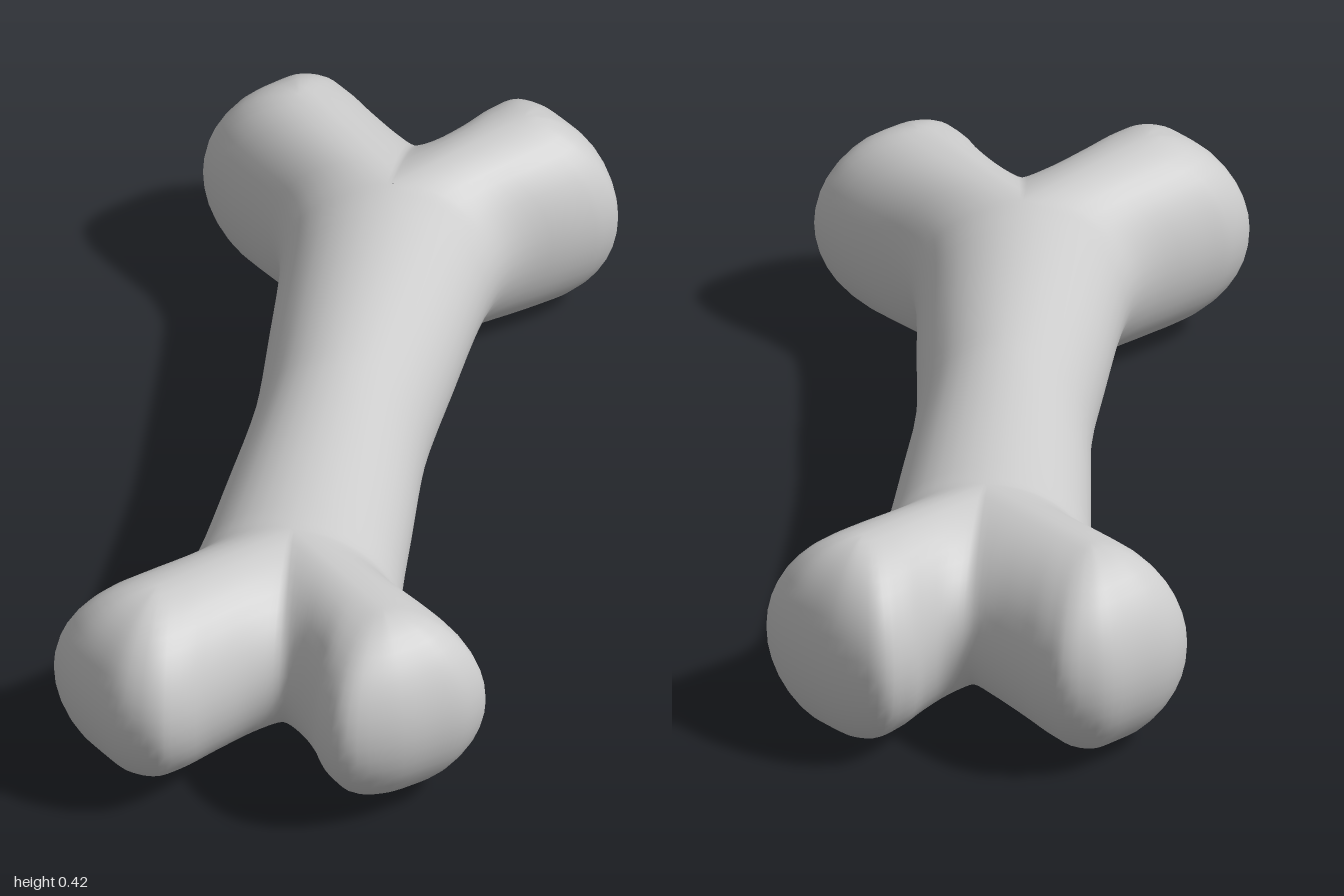
import * as THREE from 'three';

// Half outlines of one knuckled end: [x, z, s]. s places the matching point on
// the core line: 0..1 runs along the shaft, 1..2 out along the knuckle branch.
const leftSide = [
  [0.168, 0.0, 0], [0.182, 0.25, 0.45], [0.2, 0.48, 0.88], [0.218, 0.56, 1.04], [0.26, 0.615, 1.25],
  [0.35, 0.69, 1.65], [0.4, 0.745, 1.88], [0.41, 0.785, 1.97], [0.385, 0.84, 2], [0.335, 0.89, 2],
  [0.265, 0.945, 2], [0.18, 0.98, 1.95], [0.125, 0.945, 1.8], [0.09, 0.875, 1.55], [0.055, 0.823, 1.25],
];
const rightSide = [
  [0.168, 0.0, 0], [0.182, 0.25, 0.45], [0.2, 0.48, 0.88], [0.215, 0.55, 1.04], [0.25, 0.605, 1.25],
  [0.34, 0.69, 1.65], [0.395, 0.75, 1.88], [0.412, 0.805, 1.97], [0.385, 0.865, 2], [0.33, 0.925, 2],
  [0.265, 0.98, 2], [0.2, 0.995, 1.97], [0.145, 0.97, 1.8], [0.09, 0.905, 1.55], [0.03, 0.838, 1.25],
];
const JOINT = 0.55;
const TIP = { x: 0.215, z: 0.785 };

// One quarter of the outline, placed by the signs of x and z; the back notch is shallower
function quarter(side, sx, sz) {
  return side.map(([x, z, s], i) => {
    const back = sz < 0;
    const notch = back && i > 12 ? 0.012 * (i - 12) : 0;
    const slim = back && i > 3 ? 0.97 : 1;
    return new THREE.Vector3(sx * x * slim, s, sz * (z + notch));
  });
}

function boneGeometry() {
  const outline = new THREE.CatmullRomCurve3([
    ...quarter(leftSide, 1, 1),
    new THREE.Vector3(0.02, 1, 0.808),
    ...quarter(rightSide, -1, 1).reverse(),
    ...quarter(rightSide, -1, -1).slice(1),
    new THREE.Vector3(0.012, 1, -0.837),
    ...quarter(leftSide, 1, -1).slice(1).reverse(),
  ], true, 'centripetal');

  const around = 240, rows = 20;
  const pos = [], index = [];
  for (let i = 0; i < around; i++) {
    const p = outline.getPoint(i / around);
    const s = THREE.MathUtils.clamp(p.y, 0, 2);
    const branch = Math.max(0, s - 1);
    const sx = p.x < 0.015 ? -1 : 1, sz = p.z < 0 ? -1 : 1;
    // Core point and half thickness at this part of the outline
    const mx = sx * TIP.x * branch;
    const mz = sz * (JOINT * Math.min(s, 1) + (TIP.z - JOINT) * branch);
    const half = 0.188 + (sz < 0 ? 0.022 : 0.012) * branch;
    const mid = 0.218 - (sz < 0 ? 0.008 : 0) * branch;
    // Rounded rib from the underside, out to the outline and up to the top
    for (let j = 0; j <= rows; j++) {
      const a = (j / rows - 0.5) * Math.PI, c = Math.cos(a);
      pos.push(mx + (p.x - mx) * c, mid + half * Math.sin(a), mz + (p.z - mz) * c);
    }
  }
  const w = rows + 1;
  for (let i = 0; i < around; i++) {
    for (let j = 0; j < rows; j++) {
      const a = i * w + j, b = ((i + 1) % around) * w + j;
      index.push(a, a + 1, b, b, a + 1, b + 1);
    }
  }
  const geo = new THREE.BufferGeometry();
  geo.setAttribute('position', new THREE.Float32BufferAttribute(pos, 3));
  geo.setIndex(index);
  geo.computeVertexNormals();
  // Ribs meet along the core line, where the skin lies level
  for (let i = 0; i < around; i++) {
    geo.attributes.normal.setXYZ(i * w, 0, -1, 0);
    geo.attributes.normal.setXYZ(i * w + rows, 0, 1, 0);
  }
  return geo;
}

export function createModel() {
  const group = new THREE.Group();
  group.name = 'bone';
  const bone = new THREE.Mesh(boneGeometry(), new THREE.MeshStandardMaterial({ color: 0xcccccc }));
  bone.name = 'boneBody';
  group.add(bone);
  return group;
}
